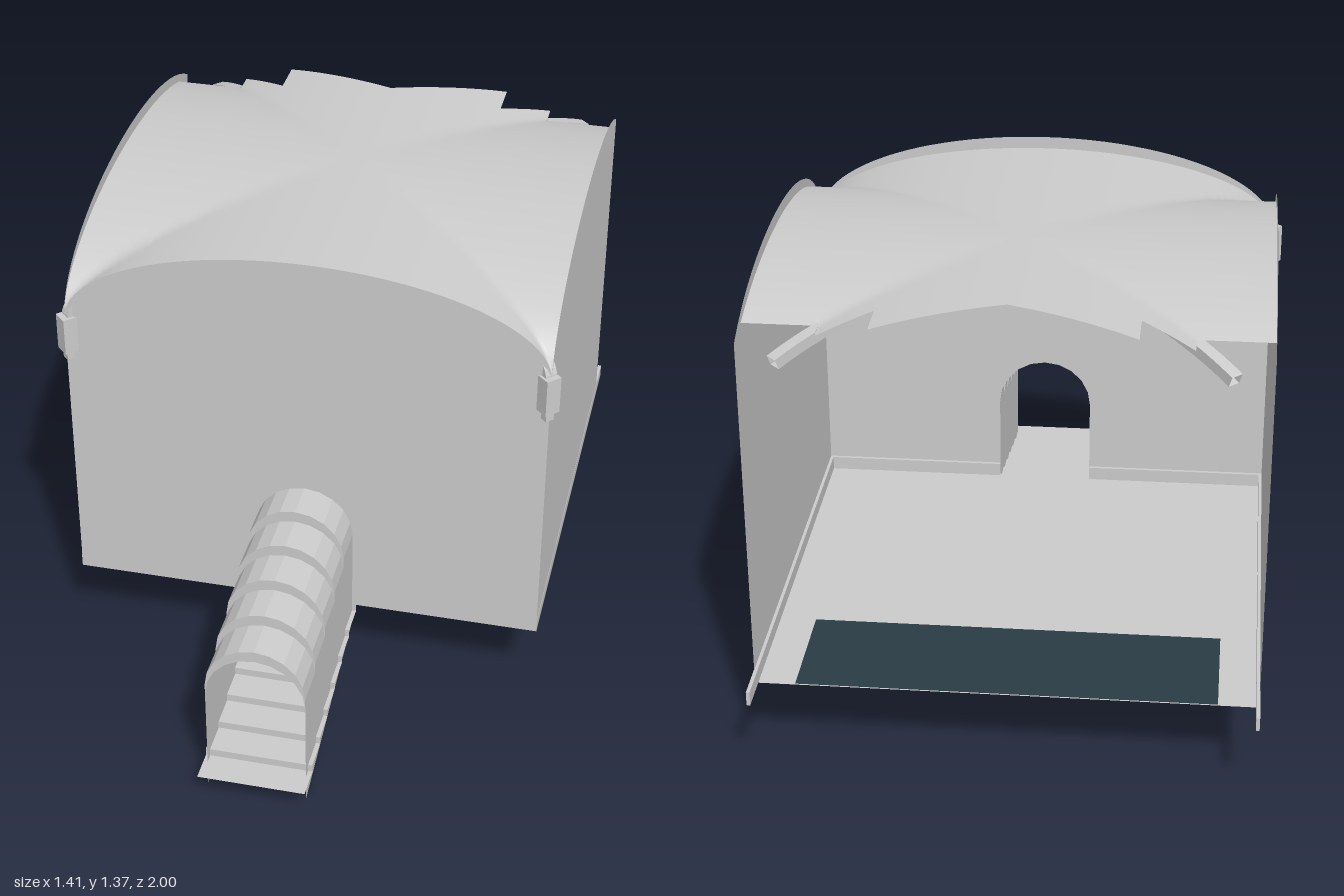
import * as THREE from 'three';
import { mergeVertices } from 'three/addons/utils/BufferGeometryUtils.js';

const HALF = 0.68, ZC = -0.32, FRONT = 0.36, BACK = -0.89, FLOOR = 0.235;
const SPRING = 1.1, VAULT_RISE = 0.23, WALL_RISE = 0.265;
const DOOR_R = 0.14, DOOR_TOP = 0.63;

const grey = new THREE.MeshStandardMaterial({ color: 0xcccccc, side: THREE.DoubleSide });
const dark = new THREE.MeshStandardMaterial({ color: 0x2b3c44, side: THREE.DoubleSide });

// Half ellipse profile shared by vault and walls, u in -HALF..HALF
const arc = (u, rise) => SPRING + rise * Math.sqrt(Math.max(0, 1 - (u / HALF) ** 2));

// Surface from equally long rows of [x, y, z] points
function loft(rows, smooth) {
  const n = rows[0].length, index = [];
  for (let i = 0; i < rows.length - 1; i++)
    for (let j = 0; j < n - 1; j++) {
      const a = i * n + j, b = a + n;
      index.push(a, b, a + 1, a + 1, b, b + 1);
    }
  let g = new THREE.BufferGeometry();
  g.setAttribute('position', new THREE.Float32BufferAttribute(rows.flat(2), 3));
  g.setIndex(index);
  g = smooth ? mergeVertices(g, 1e-5) : g.toNonIndexed();
  g.computeVertexNormals();
  return g;
}

// Wall outline: curved top, straight sides, optional arched doorway
function wallGeometry(from, to, door) {
  const s = new THREE.Shape();
  s.moveTo(from, FLOOR);
  if (door) {
    s.lineTo(-DOOR_R, FLOOR);
    for (const [x, y] of archPoints(DOOR_TOP)) s.lineTo(x, y);
    s.lineTo(DOOR_R, FLOOR);
  }
  s.lineTo(to, FLOOR);
  const a0 = Math.acos(to / HALF), a1 = Math.acos(from / HALF);
  for (let i = 0; i <= 48; i++) {
    const u = HALF * Math.cos(a0 + (a1 - a0) * i / 48);
    s.lineTo(u, arc(u, WALL_RISE));
  }
  return new THREE.ShapeGeometry(s);
}

// Faceted semicircle, left to right
function archPoints(top) {
  return Array.from({ length: 11 }, (_, i) => {
    const a = Math.PI * (1 - i / 10);
    return [DOOR_R * Math.cos(a), top - DOOR_R + DOOR_R * Math.sin(a)];
  });
}

// Groin vault: higher of two crossing barrels, torn along the back
function vaultGeometry() {
  const panels = [[0, 0.34, -0.775, -0.89], [0.34, 0.48, -0.775, -0.865], [0.48, 0.68, -0.8, -0.8]];
  const a1 = Math.asin((-0.775 - ZC) / HALF);
  const geos = [];
  for (const side of [-1, 1])
    for (const [x0, x1, e0, e1] of panels) {
      const b0 = Math.asin(x0 / HALF), b1 = Math.asin(Math.min(1, x1 / HALF)), cols = [];
      for (let i = 0; i <= 16; i++) {
        const x = HALF * Math.sin(b0 + (b1 - b0) * i / 16);
        const edge = e0 + (e1 - e0) * (x - x0) / (x1 - x0);
        const col = [];
        for (let j = 0; j <= 60; j++) {
          const z = j <= 56
            ? ZC + HALF * Math.sin(Math.PI / 2 + (a1 - Math.PI / 2) * j / 56)
            : -0.775 + (edge + 0.775) * (j - 56) / 4;
          col.push([side * x, Math.max(arc(x, VAULT_RISE), arc(z - ZC, VAULT_RISE)), z]);
        }
        cols.push(col);
      }
      geos.push(side > 0 ? cols : cols.reverse());
    }
  // order panels from -x to +x so they form one sheet
  const sheet = [...geos.slice(0, 3).reverse(), ...geos.slice(3)].flat();
  return loft(sheet, true);
}

// Diagonal rib under a groin, broken off at the back
function ribGeometry(side) {
  const a = HALF * Math.SQRT2, rows = [], w = 0.018, d = 0.03;
  const end = Math.acos(-0.86);
  for (let i = 0; i <= 40; i++) {
    const t = end * i / 40;
    const n = new THREE.Vector2(Math.cos(t) / a, Math.sin(t) / VAULT_RISE).normalize();
    const ring = [[-w, 0], [w, 0], [w, d], [-w, d], [-w, 0]].map(([across, depth]) => {
      const s = (a * Math.cos(t) - n.x * depth) / Math.SQRT2, c = across / Math.SQRT2;
      return [side * (s - c), SPRING + VAULT_RISE * Math.sin(t) - n.y * depth, ZC + s + c];
    });
    rows.push(ring);
  }
  return loft(rows, false);
}

// Stepped barrel passage with side walls on a sloping base line
function passageGeometry() {
  const z0 = FRONT, z1 = 0.935, drop = 0.0325, rows = [];
  const row = (z, top) => {
    const base = 0.17 - 0.17 * (z - z0) / (z1 - z0);
    rows.push([[-DOOR_R, base], ...archPoints(top), [DOOR_R, base]].map(([x, y]) => [x, y, z]));
  };
  for (let i = 0; i < 5; i++) {
    const top = DOOR_TOP - drop * i;
    row(z0 + (z1 - z0) * i / 5, top);
    row(z0 + (z1 - z0) * (i + 1) / 5, top);
  }
  row(z1, DOOR_TOP - drop * 5);
  return loft(rows, false);
}

// Thin folded strip of risers and treads
function stairGeometry() {
  const w = 0.152, n = 7, rise = 0.0222, run = (1 - FRONT) / n, rows = [];
  const row = (y, z) => rows.push([[-w, y, z], [w, y, z]]);
  row(FLOOR, FRONT);
  for (let i = 0; i < n; i++) {
    row(FLOOR - rise * (i + 1), FRONT + run * i);
    row(FLOOR - rise * (i + 1), FRONT + run * (i + 1));
  }
  return loft(rows, false);
}

export function createModel() {
  const model = new THREE.Group();
  const add = (name, geometry, x = 0, y = 0, z = 0, material = grey) => {
    const m = new THREE.Mesh(geometry, material);
    m.name = name;
    m.position.set(x, y, z);
    model.add(m);
    return m;
  };
  const plane = (w, d) => new THREE.PlaneGeometry(w, d).rotateX(-Math.PI / 2);

  // Floor and dark panel at the open back
  add('floor', plane(2 * HALF, FRONT - BACK), 0, FLOOR, (FRONT + BACK) / 2);
  add('floorPanel', plane(1.14, 0.33), 0, FLOOR + 0.003, BACK + 0.165, dark);

  // Walls and vault
  add('frontWall', wallGeometry(-HALF, HALF, true), 0, 0, FRONT);
  add('vault', vaultGeometry());

  for (const [label, s] of [['left', 1], ['right', -1]]) {
    add(label + 'Wall', wallGeometry(BACK - ZC, HALF, false).rotateY(-Math.PI / 2), s * HALF, 0, ZC);
    add(label + 'Rib', ribGeometry(s));

    // Skirting, running past the side walls at the back
    add(label + 'Skirting', new THREE.BoxGeometry(0.01, 0.04, FRONT + 1), s * (HALF - 0.004), FLOOR + 0.02, (FRONT - 1) / 2);
    add(label + 'FrontSkirting', new THREE.BoxGeometry(HALF - DOOR_R, 0.04, 0.01),
      s * (HALF + DOOR_R) / 2, FLOOR + 0.02, FRONT - 0.006);

    // Corbel block and stub at the front corner
    add(label + 'Corbel', new THREE.BoxGeometry(0.046, 0.11, 0.046), s * 0.673, 1.055, 0.357).rotation.y = Math.PI / 4;
    add(label + 'CorbelStub', new THREE.BoxGeometry(0.026, 0.03, 0.026), s * 0.673, 0.988, 0.357).rotation.y = Math.PI / 4;
  }

  // Entrance passage and steps
  add('passage', passageGeometry());
  add('stairs', stairGeometry());
  return model;
}
